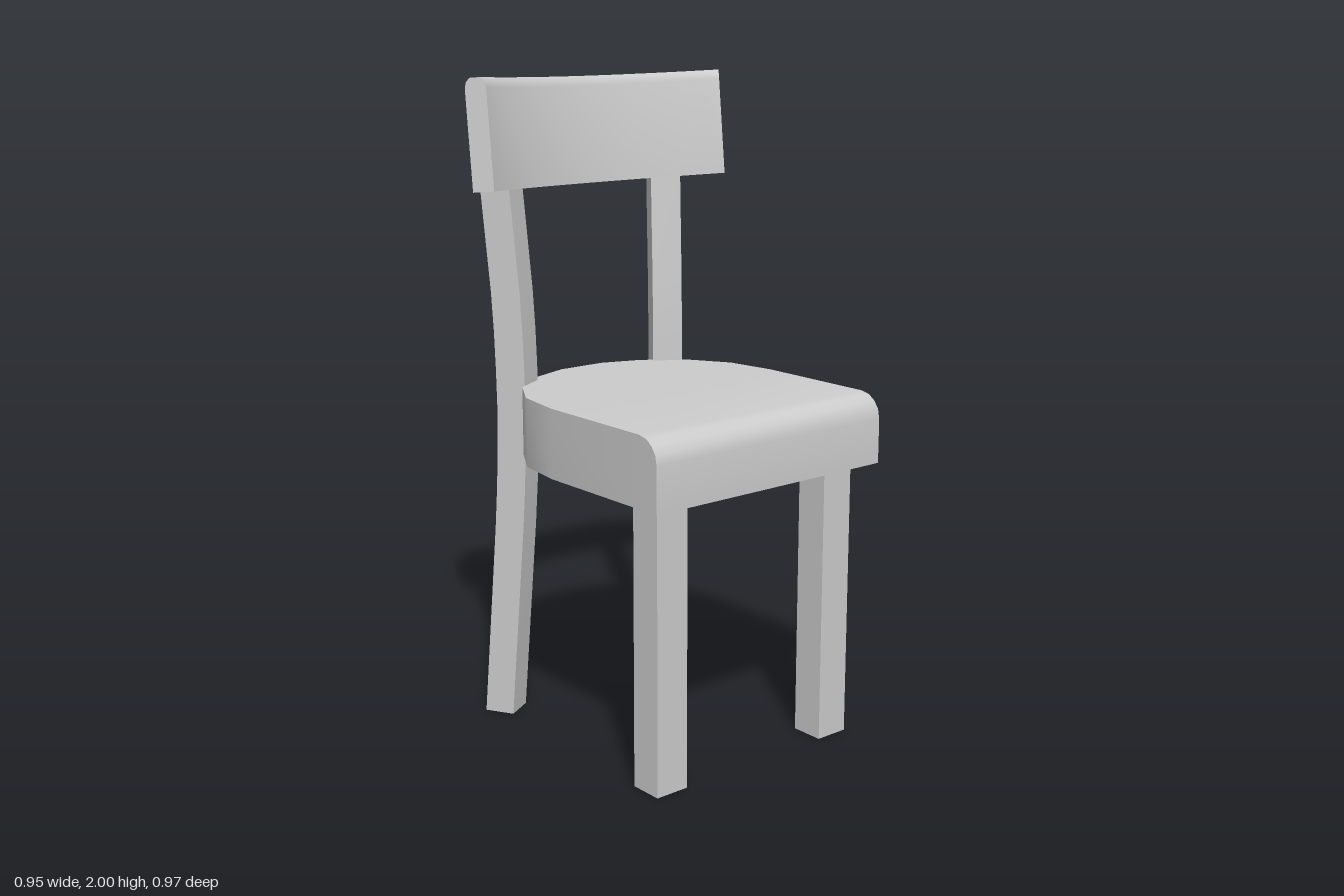
import * as THREE from 'three';
import { toCreasedNormals } from 'three/addons/utils/BufferGeometryUtils.js';

const material = new THREE.MeshStandardMaterial({ color: 0xcccccc });

// Skin a list of rings (each counter-clockwise seen from the end of the path) and cap both ends.
function loft(sections) {
  const pos = [];
  const tri = (a, b, c) => pos.push(...a, ...b, ...c);
  const n = sections[0].length;
  for (let i = 0; i < sections.length - 1; i++) {
    for (let j = 0; j < n; j++) {
      const k = (j + 1) % n;
      const [s, e] = [sections[i], sections[i + 1]];
      tri(s[j], s[k], e[k]);
      tri(s[j], e[k], e[j]);
    }
  }
  const first = sections[0], last = sections[sections.length - 1];
  for (let j = 1; j < n - 1; j++) {
    tri(first[0], first[j + 1], first[j]);
    tri(last[0], last[j], last[j + 1]);
  }
  const geo = new THREE.BufferGeometry();
  geo.setAttribute('position', new THREE.Float32BufferAttribute(pos, 3));
  return toCreasedNormals(geo, 0.6);
}

function part(name, geometry) {
  const mesh = new THREE.Mesh(geometry, material);
  mesh.name = name;
  return mesh;
}

// Seat: stations along x as [x, half width, top], round at the back, rolled at the front edge
function makeSeat() {
  const bottom = 0.865;
  const stations = [
    [-0.425, 0.08, 1.075], [-0.38, 0.21, 1.075], [-0.285, 0.33, 1.075],
    [-0.16, 0.405, 1.075], [0, 0.43, 1.075], [0.4, 0.43, 1.075],
    [0.43, 0.43, 1.069], [0.453, 0.43, 1.053], [0.469, 0.43, 1.03], [0.475, 0.43, 1.0],
  ];
  return loft(stations.map(([x, w, top]) => [
    [x, bottom, -w], [x, top, -w], [x, top, w], [x, bottom, w],
  ]));
}

// Back leg: square section swept up a gentle bow, as [height, outward offset]
function makeBackLeg() {
  const h = 0.0475;
  const bow = [[0, 0.063], [0.62, 0.015], [0.75, 0.007], [0.88, 0.002], [1, 0],
    [1.12, 0.002], [1.24, 0.006], [1.36, 0.013], [1.92, 0.063]];
  return loft(bow.map(([y, d]) => [
    [h - d, y, h], [h - d, y, -h], [-h - d, y, -h], [-h - d, y, h],
  ]));
}

// Backrest: curved board with rounded top edges, leaning back
function makeBackrest() {
  const lean = 0.1, low = 1.675, high = 2, steps = 16;
  const arcX = (start, radius, z) => start + radius - Math.sqrt(radius * radius - z * z);
  // [position from outer (0) to inner (1) face, height]
  const outline = [[1, low], [1, high - 0.03], [0.93, high - 0.012], [0.75, high],
    [0.25, high], [0.07, high - 0.012], [0, high - 0.03], [0, low]];
  const sections = [];
  for (let i = 0; i <= steps; i++) {
    const t = (i / steps) * 2 - 1;
    const zo = 0.485 * t, zi = 0.445 * t;
    const xo = arcX(-0.45, 1, zo), xi = arcX(-0.395, 0.885, zi);
    sections.push(outline.map(([u, y]) => {
      const x = xo + (xi - xo) * u;
      return [x + lean * (high - y), y + lean * (x + 0.3), zo + (zi - zo) * u];
    }));
  }
  return loft(sections);
}

export function createModel() {
  const chair = new THREE.Group();
  chair.name = 'chair';
  chair.add(part('seat', makeSeat()), part('backrest', makeBackrest()));

  const backLeg = makeBackLeg();
  const frontLeg = new THREE.BoxGeometry(0.105, 0.87, 0.11);
  for (const side of [1, -1]) {
    const rear = part('backLeg', backLeg);
    rear.position.set(-0.36, 0, side * 0.295);
    rear.rotation.y = side * Math.PI / 6;
    const front = part('frontLeg', frontLeg);
    front.position.set(0.36, 0.435, side * 0.322);
    chair.add(rear, front);
  }
  return chair;
}
